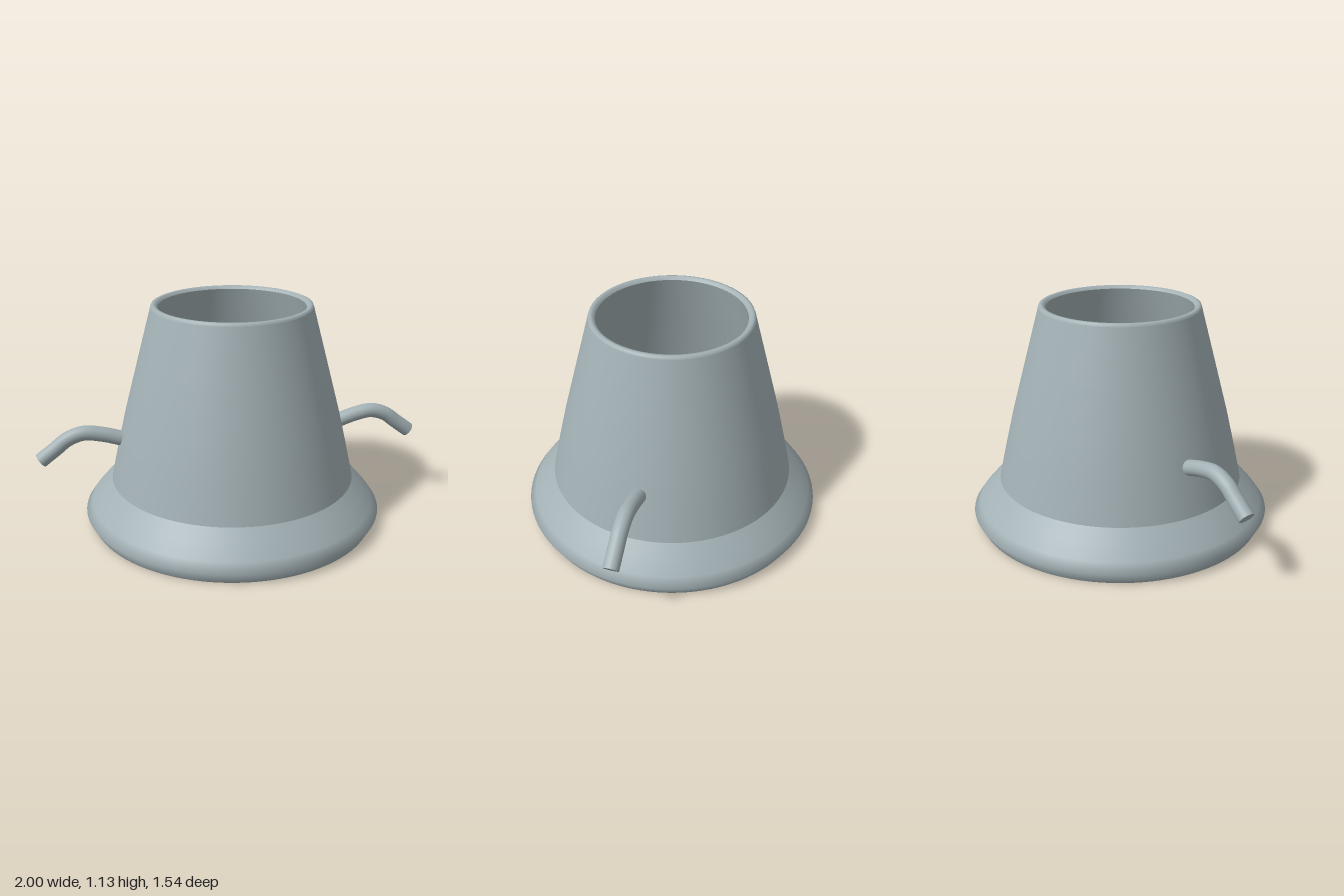
import * as THREE from 'three';

const metal = new THREE.MeshStandardMaterial({ color: 0xa3b1b5 });
metal.name = 'grey metal';

// Surface of revolution; smooth within one profile, sharp between profiles
function ring(name, profile) {
  const points = profile.map(([r, y]) => new THREE.Vector2(r, y));
  const mesh = new THREE.Mesh(new THREE.LatheGeometry(points, 96), metal);
  mesh.name = name;
  return mesh;
}

// Bent round bar with flat ends, side = +1 (left) or -1 (right)
function handle(name, side) {
  const group = new THREE.Group();
  group.name = name;
  const radius = 0.038;
  const path = new THREE.CatmullRomCurve3(
    [[0.575, 0.46], [0.67, 0.489], [0.76, 0.502], [0.84, 0.477], [0.905, 0.428], [0.978, 0.373]]
      .map(([x, y]) => new THREE.Vector3(side * x, y, 0))
  );
  const bar = new THREE.Mesh(new THREE.TubeGeometry(path, 40, radius, 24), metal);
  bar.name = 'handleBar';
  group.add(bar);
  for (const t of [0, 1]) {
    const cap = new THREE.Mesh(new THREE.CircleGeometry(radius, 24), metal);
    cap.name = 'handleEnd';
    cap.position.copy(path.getPointAt(t));
    const outward = path.getTangentAt(t).multiplyScalar(t ? 1 : -1);
    cap.quaternion.setFromUnitVectors(new THREE.Vector3(0, 0, 1), outward);
    group.add(cap);
  }
  return group;
}

export function createModel() {
  const model = new THREE.Group();
  model.name = 'flaredSleeve';

  // Hollow shell: tapered body, flared foot, rounded rim and inner wall
  model.add(
    ring('foot', [[0.737, 0], [0.768, 0.058], [0.735, 0.105], [0.685, 0.163], [0.627, 0.225]]),
    ring('body', [[0.627, 0.225], [0.588, 0.4], [0.545, 0.58], [0.473, 0.85], [0.402, 1.115]]),
    ring('rim', [[0.402, 1.115], [0.398, 1.126], [0.388, 1.13], [0.376, 1.128], [0.366, 1.115]]),
    ring('innerWall', [[0.366, 1.115], [0.437, 0.85], [0.509, 0.58], [0.552, 0.4], [0.592, 0.215]]),
    ring('innerFlare', [[0.592, 0.215], [0.65, 0.15], [0.7, 0.095], [0.722, 0.058], [0.69, 0]]),
    ring('baseEdge', [[0.69, 0], [0.737, 0]])
  );

  model.add(handle('leftHandle', 1), handle('rightHandle', -1));
  return model;
}
